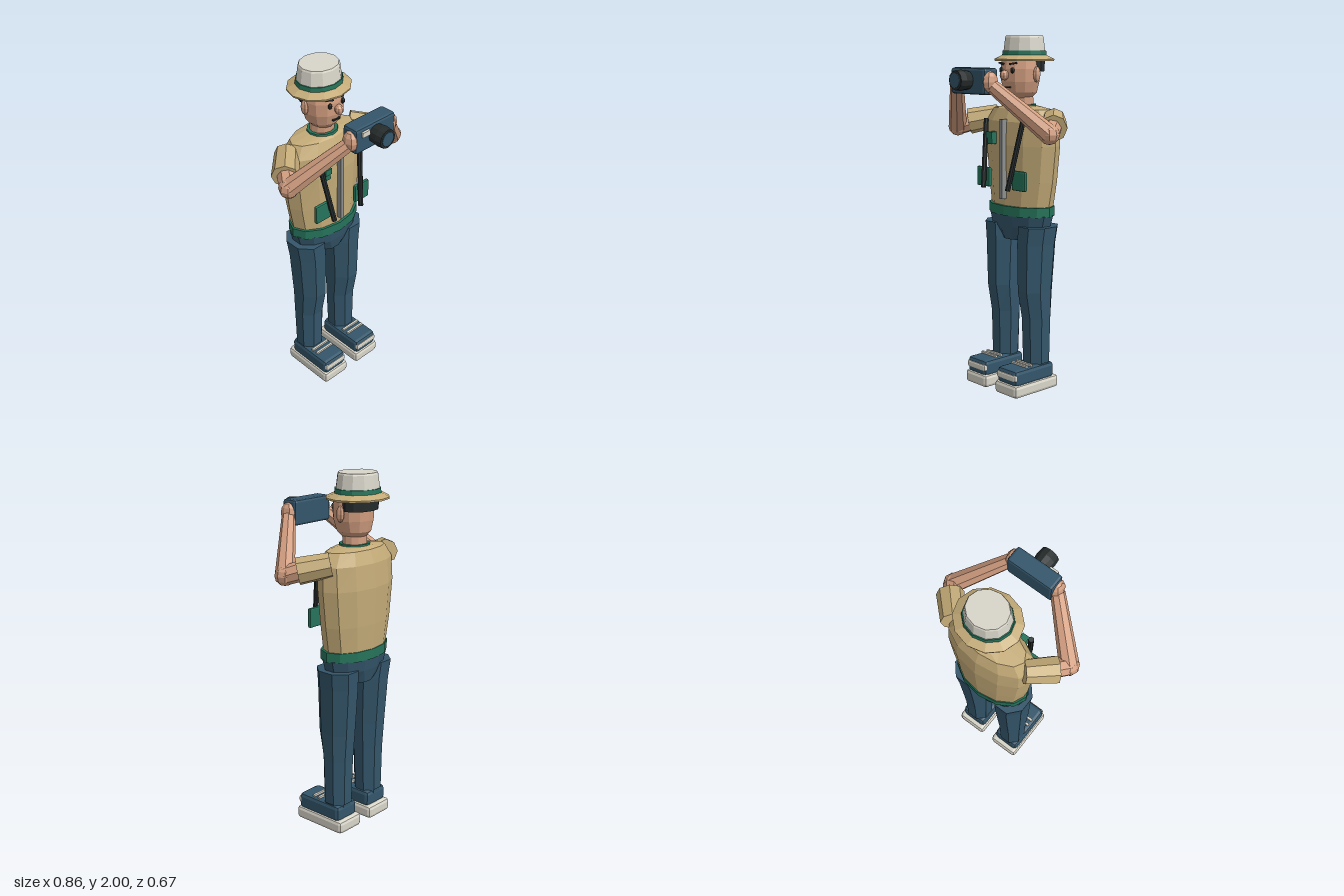
import * as THREE from 'three';
import { RoundedBoxGeometry } from 'three/addons/geometries/RoundedBoxGeometry.js';

const mat = (name, color, side = THREE.FrontSide) => {
  const m = new THREE.MeshStandardMaterial({ color, side });
  m.name = name;
  return m;
};

// Facet a geometry so every polygon reads flat
function flat(g) {
  const f = g.index ? g.toNonIndexed() : g;
  f.computeVertexNormals();
  return f;
}

// Stack of elliptical rings [y, cx, cz, rx, rz], bottom to top, capped
function loft(rings, n = 12, flatFront = false) {
  const pos = [], idx = [];
  const off = flatFront ? Math.PI / n : 0;
  const k = flatFront ? 1 / Math.cos(Math.PI / n) : 1;
  for (const [y, cx, cz, rx, rz] of rings) {
    for (let i = 0; i < n; i++) {
      const a = (i / n) * Math.PI * 2 + off;
      pos.push(cx + Math.sin(a) * rx * k, y, cz + Math.cos(a) * rz * k);
    }
  }
  for (let j = 0; j < rings.length - 1; j++) {
    for (let i = 0; i < n; i++) {
      const a = j * n + i, b = j * n + ((i + 1) % n);
      idx.push(a, b, b + n, a, b + n, a + n);
    }
  }
  const last = (rings.length - 1) * n;
  for (let i = 1; i < n - 1; i++) idx.push(0, i + 1, i, last, last + i, last + i + 1);
  const g = new THREE.BufferGeometry();
  g.setAttribute('position', new THREE.Float32BufferAttribute(pos, 3));
  g.setIndex(idx);
  return flat(g);
}

// Tapered cylinder between two points
function limb(a, b, ra, rb, n = 8) {
  const A = new THREE.Vector3(...a), B = new THREE.Vector3(...b);
  const d = B.clone().sub(A);
  const g = new THREE.CylinderGeometry(rb, ra, d.length(), n);
  g.applyQuaternion(new THREE.Quaternion().setFromUnitVectors(new THREE.Vector3(0, 1, 0), d.normalize()));
  const c = A.add(B).multiplyScalar(0.5);
  return flat(g.translate(c.x, c.y, c.z));
}

// Chamfered box given by its min and max on each axis
function block(x0, x1, y0, y1, z0, z1, bevel) {
  const g = bevel
    ? new RoundedBoxGeometry(x1 - x0, y1 - y0, z1 - z0, 1, bevel)
    : new THREE.BoxGeometry(x1 - x0, y1 - y0, z1 - z0);
  return flat(g.translate((x0 + x1) / 2, (y0 + y1) / 2, (z0 + z1) / 2));
}

function ball(x, y, z, rx, ry, rz, n = 8) {
  return flat(new THREE.SphereGeometry(1, n, 6).scale(rx, ry, rz).translate(x, y, z));
}

export function createModel() {
  const root = new THREE.Group();
  root.name = 'photographer';
  const tan = mat('khaki', 0xc4ab78);
  const tanBrim = mat('brim khaki', 0xc4ab78, THREE.DoubleSide);
  const skin = mat('skin', 0xd29e80);
  const blue = mat('denim blue', 0x34566b);
  const green = mat('green trim', 0x25735a);
  const white = mat('off white', 0xd8d5c9);
  const black = mat('black', 0x262c2c);
  const grey = mat('zip grey', 0x8d9090);

  const add = (name, g, m, parent = root) => {
    const mesh = new THREE.Mesh(g, m);
    mesh.name = name;
    parent.add(mesh);
    return mesh;
  };

  // Shirt, belt and hips
  add('shirt', loft([
    [1.055, 0, -0.16, 0.215, 0.13], [1.2, 0, -0.163, 0.24, 0.135], [1.4, 0, -0.163, 0.262, 0.14],
    [1.53, 0, -0.16, 0.26, 0.13], [1.6, 0, -0.16, 0.21, 0.1], [1.615, 0, -0.155, 0.09, 0.08],
  ]), tan);
  add('belt', loft([[1.005, 0, -0.155, 0.228, 0.14], [1.06, 0, -0.155, 0.228, 0.14]]), green);
  add('hips', loft([
    [0.865, 0, -0.155, 0.1, 0.1], [0.94, 0, -0.155, 0.2, 0.118], [1.01, 0, -0.155, 0.22, 0.13],
  ], 12, true), blue);
  add('zip', block(-0.01, 0.01, 1.1, 1.545, -0.035, 0.004), grey);
  add('chestPocket', block(-0.12, -0.08, 1.4, 1.47, -0.05, 0, 0.005), green);
  add('chestPocketFlap', block(-0.122, -0.078, 1.435, 1.47, -0.008, 0.005), green);

  // Neck and head
  add('neck', loft([[1.6, 0, -0.155, 0.072, 0.065], [1.7, 0, -0.15, 0.07, 0.065]]), skin);
  add('collar', loft([[1.6, 0, -0.152, 0.092, 0.084], [1.624, 0, -0.152, 0.088, 0.08]]), green);
  add('head', loft([
    [1.655, 0, -0.148, 0.06, 0.062], [1.69, 0, -0.146, 0.094, 0.093], [1.75, 0, -0.143, 0.112, 0.107],
    [1.82, 0, -0.143, 0.117, 0.11], [1.89, 0, -0.15, 0.11, 0.105],
  ]), skin);
  add('hair', loft([[1.805, 0, -0.188, 0.117, 0.086], [1.88, 0, -0.185, 0.12, 0.095]]), black);
  add('nose', ball(0, 1.785, -0.022, 0.024, 0.028, 0.026), skin);
  add('mouth', block(-0.025, 0.025, 1.716, 1.723, -0.05, -0.037), black);

  // Hat
  const hat = new THREE.Group();
  hat.name = 'hat';
  root.add(hat);
  const brim = new THREE.LatheGeometry(
    [[0.178, 1.862], [0.18, 1.872], [0.12, 1.9]].map((p) => new THREE.Vector2(...p)), 12);
  add('brim', flat(brim.scale(1, 1, 0.91).translate(0, 0, -0.172)), tanBrim, hat);
  const under = new THREE.LatheGeometry(
    [[0.1, 1.882], [0.178, 1.862]].map((p) => new THREE.Vector2(...p)), 12);
  add('brimUnderside', flat(under.scale(1, 1, 0.91).translate(0, 0, -0.172)), tanBrim, hat);
  add('hatBand', loft([[1.89, 0, -0.172, 0.134, 0.122], [1.918, 0, -0.172, 0.131, 0.119]]), green, hat);
  add('crown', loft([[1.88, 0, -0.172, 0.13, 0.118], [1.99, 0, -0.172, 0.115, 0.105],
    [2, 0, -0.172, 0.11, 0.1]]), white, hat);

  // Camera
  const camera = new THREE.Group();
  camera.name = 'handheldCamera';
  root.add(camera);
  add('cameraBody', block(-0.138, 0.138, 1.69, 1.83, 0.148, 0.245, 0.014), blue, camera);
  add('lensBarrel', limb([0, 1.765, 0.24], [0, 1.765, 0.29], 0.05, 0.056, 12), black, camera);
  add('lensRim', limb([0, 1.765, 0.29], [0, 1.765, 0.327], 0.056, 0.052, 12), black, camera);
  add('lensGlass', limb([0, 1.765, 0.322], [0, 1.765, 0.331], 0.04, 0.04, 12), blue, camera);
  add('flash', block(-0.102, -0.052, 1.782, 1.81, 0.24, 0.257), white, camera);

  for (const s of [1, -1]) {
    const side = s > 0 ? 'left' : 'right';
    const span = (a, b) => (s > 0 ? [a, b] : [-b, -a]);

    // Face details
    add(side + 'Eye', ball(s * 0.045, 1.812, -0.041, 0.013, 0.017, 0.01), black);
    const brow = add(side + 'Brow', flat(new THREE.BoxGeometry(0.045, 0.009, 0.014)), black);
    brow.position.set(s * 0.047, 1.849, -0.044);
    brow.rotation.set(0, s * 0.3, s * 0.15);
    add(side + 'Ear', ball(s * 0.118, 1.79, -0.155, 0.018, 0.044, 0.024), skin);

    // Arm raised to the camera
    const arm = new THREE.Group();
    arm.name = side + 'Arm';
    root.add(arm);
    const elbow = [s * 0.376, 1.485, 0];
    add('sleeve', limb([s * 0.225, 1.545, -0.185], [s * 0.345, 1.512, -0.062], 0.066, 0.074), tan, arm);
    add('upperArm', limb([s * 0.31, 1.52, -0.09], elbow, 0.055, 0.052), skin, arm);
    add('elbow', ball(...elbow, 0.055, 0.055, 0.055), skin, arm);
    add('forearm', limb(elbow, [s * 0.145, 1.735, 0.195], 0.053, 0.038), skin, arm);
    add('hand', ball(s * 0.137, 1.757, 0.203, 0.036, 0.058, 0.047), skin, arm);

    // Hanging strap and lower pocket
    add(side + 'Strap', limb([s * 0.15, 1.54, -0.022], [s * 0.1, 1.16, 0.045], 0.015, 0.015), black);
    add(side + 'Pocket', block(...span(0.092, 0.198), 1.16, 1.27, -0.012, 0.01, 0.008), green);

    // Trouser leg
    add(side + 'Leg', loft([
      [0.16, s * 0.13, -0.153, 0.074, 0.074], [0.42, s * 0.128, -0.152, 0.081, 0.08],
      [0.58, s * 0.127, -0.143, 0.086, 0.1], [0.85, s * 0.129, -0.15, 0.096, 0.111],
      [0.95, s * 0.138, -0.155, 0.1, 0.115],
    ], 8, true), blue);

    // Shoe
    const shoe = new THREE.Group();
    shoe.name = side + 'Shoe';
    root.add(shoe);
    add('sole', block(...span(0.036, 0.218), 0, 0.075, -0.25, 0.088, 0.02), white, shoe);
    add('upper', block(...span(0.048, 0.208), 0.06, 0.157, -0.222, 0.078, 0.022), blue, shoe);
    add('toeBand', block(...span(0.052, 0.204), 0.095, 0.135, 0.05, 0.084, 0.01), white, shoe);
    add('ankle', loft([[0.13, s * 0.13, -0.153, 0.068, 0.068], [0.18, s * 0.13, -0.153, 0.068, 0.068]], 8, true), blue, shoe);
    for (const z of [-0.022, -0.06]) {
      add('lace', block(...span(0.066, 0.19), 0.15, 0.168, z - 0.007, z + 0.007), white, shoe);
    }
  }
  return root;
}
